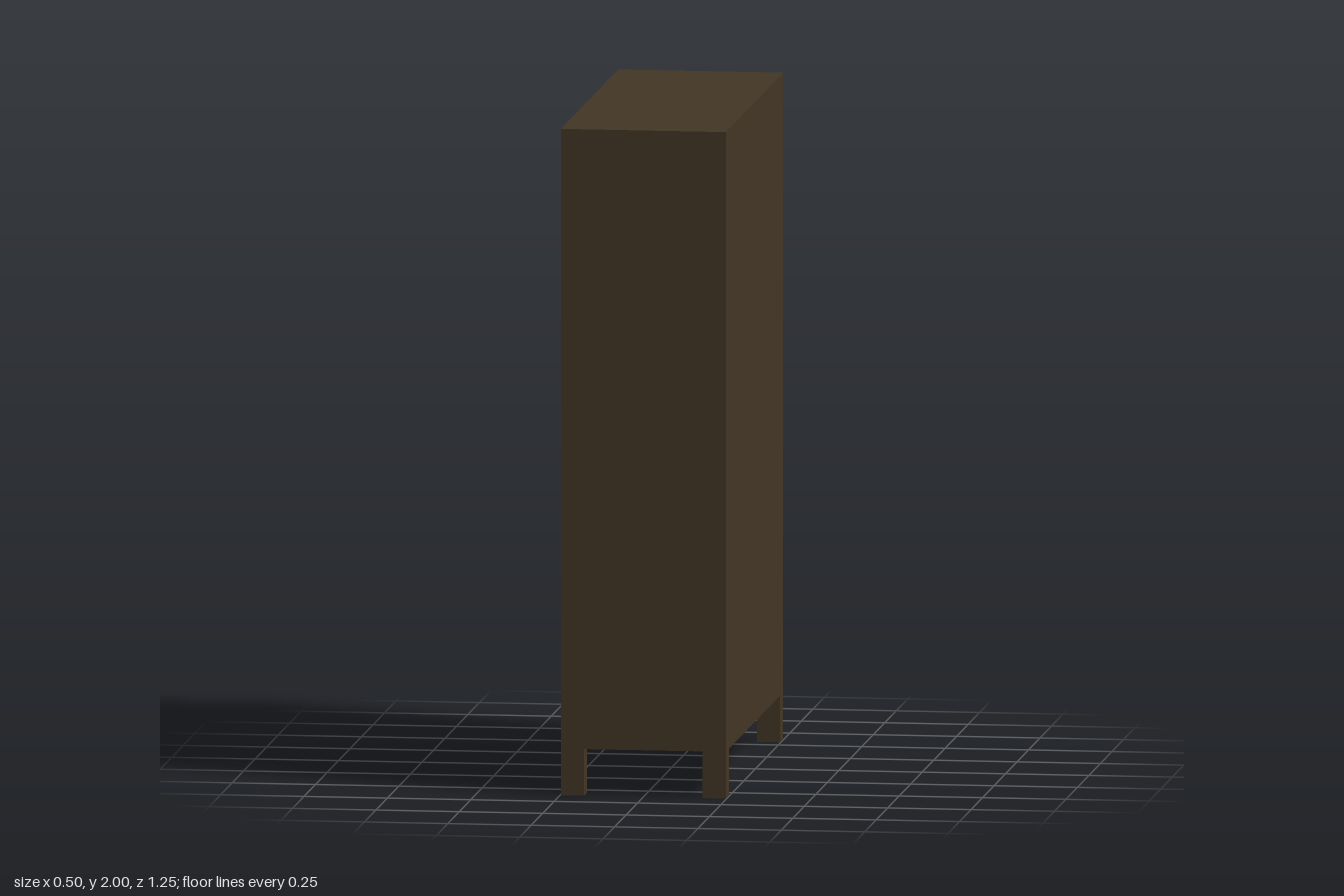
import * as THREE from 'three';

const W = 0.495, D = 1.245, H = 2; // depth in x, width in z, height
const LEG = 0.14, WALL = 0.065, BACK = 0.03, SLAT = 0.045;

export function createModel() {
  const model = new THREE.Group();
  model.name = 'latticeCabinet';
  const wood = new THREE.MeshStandardMaterial({ color: 0x433625 });
  wood.name = 'darkWood';

  const box = (name, size, pos, parent = model) => {
    const mesh = new THREE.Mesh(new THREE.BoxGeometry(...size), wood);
    mesh.name = name;
    mesh.position.set(...pos);
    parent.add(mesh);
    return mesh;
  };

  // Carcass, open towards -x
  const bodyH = H - LEG, midY = LEG + bodyH / 2;
  const innerZ = D / 2 - WALL;
  const y0 = LEG + WALL, y1 = H - WALL;
  box('topPanel', [W, WALL, D], [0, H - WALL / 2, 0]);
  box('bottomPanel', [W, WALL, D], [0, LEG + WALL / 2, 0]);
  for (const s of [-1, 1]) {
    box(s > 0 ? 'frontWall' : 'backWall', [W, y1 - y0, WALL], [0, midY, s * (D / 2 - WALL / 2)]);
  }
  box('closedSidePanel', [BACK, y1 - y0, innerZ * 2], [W / 2 - BACK / 2, midY, 0]);

  // Legs
  for (const sx of [-1, 1]) for (const sz of [-1, 1]) {
    box('leg', [0.07, LEG, 0.065], [sx * (W / 2 - 0.035), LEG / 2, sz * (D / 2 - 0.0325)]);
  }

  // Diagonal slats: three diamonds high, two wide, clipped to the opening
  const lattice = new THREE.Group();
  lattice.name = 'lattice';
  model.add(lattice);
  const step = (y1 - y0) / 3;
  const slope = step / innerZ;
  const slatDepth = W - BACK - 0.004;
  const slatX = -W / 2 + 0.004 + slatDepth / 2;
  for (const dir of [-1, 1]) {
    for (let k = -1; k <= 2; k++) {
      const start = y0 + k * step;
      const a = Math.max(0, (y0 - start) / slope);
      const b = Math.min(2 * innerZ, (y1 - start) / slope);
      const mid = (a + b) / 2;
      const length = (b - a) * Math.hypot(1, slope) + SLAT;
      const slat = box('slat', [slatDepth, SLAT, length],
        [slatX, start + slope * mid, dir * (mid - innerZ)], lattice);
      slat.rotation.x = -dir * Math.atan(slope);
    }
  }
  return model;
}
